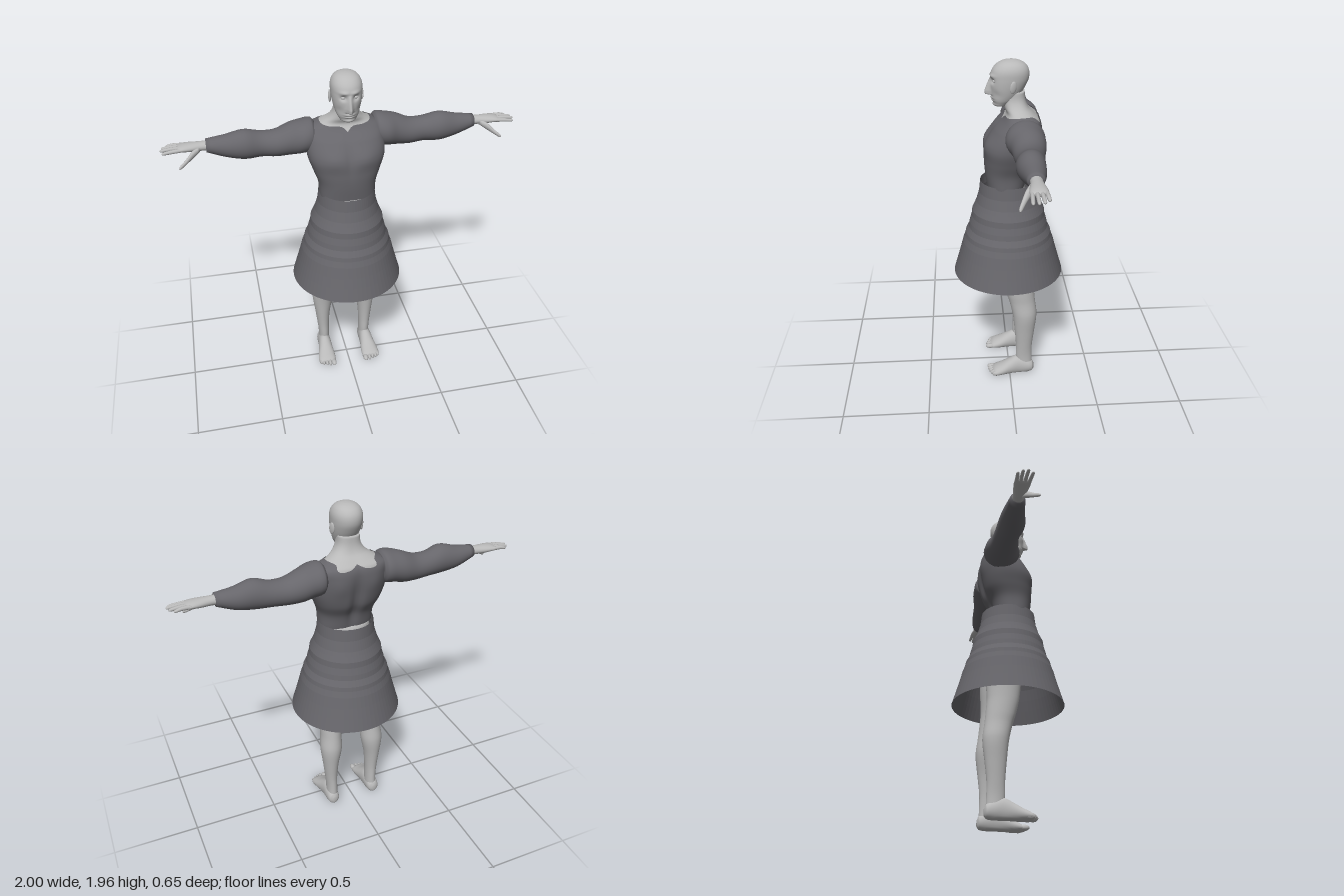
import * as THREE from 'three';

const skin = new THREE.MeshStandardMaterial({ color: 0xb9b9b9 });
skin.name = 'skin';
const cloth = new THREE.MeshStandardMaterial({ color: 0x67666b, side: THREE.DoubleSide });
cloth.name = 'cloth';

// Smooth lookup in rows of [key, values...]
function at(rows, k) {
  let i = 0;
  while (i < rows.length - 2 && k > rows[i + 1][0]) i++;
  const a = rows[i], b = rows[i + 1], p = rows[Math.max(i - 1, 0)], q = rows[Math.min(i + 2, rows.length - 1)];
  const d = b[0] - a[0], t = THREE.MathUtils.clamp((k - a[0]) / d, 0, 1);
  return a.slice(1).map((v, j) => {
    const w = b[j + 1];
    const m = d * (w - p[j + 1]) / (b[0] - p[0]), n = d * (q[j + 1] - v) / (q[0] - a[0]);
    const t2 = t * t, t3 = t2 * t;
    return (2 * t3 - 3 * t2 + 1) * v + (t3 - 2 * t2 + t) * m + (3 * t2 - 2 * t3) * w + (t3 - t2) * n;
  });
}

// Skin over cross-sections [key, c1, c2, r1, r2] along an axis.
// Pairs (c1, c2): axis x -> (y, z), axis y -> (z, x), axis z -> (x, y)
function loft(axis, rows, { seg = 32, sub = 4, exp = 2, grow = 0, top = null, cap = true, tweak = null } = {}) {
  const A = { x: 0, y: 1, z: 2 }[axis], pos = [], idx = [], keys = [];
  rows.slice(1).forEach((r, i) => {
    for (let s = 0; s < sub; s++) keys.push(rows[i][0] + (r[0] - rows[i][0]) * s / sub);
  });
  const k0 = rows[0][0], k1 = rows.at(-1)[0];
  keys.push(k1);
  const put = (k, p, q) => {
    const v = new THREE.Vector3().setComponent(A, k).setComponent((A + 1) % 3, p).setComponent((A + 2) % 3, q);
    if (tweak) tweak(v);
    pos.push(v.x, v.y, v.z);
  };
  const pw = (c) => Math.sign(c) * Math.abs(c) ** (2 / exp);
  keys.forEach((key, j) => {
    for (let i = 0; i < seg; i++) {
      const u = i / seg * Math.PI * 2;
      const k = top ? k0 + (key - k0) * (top(u) - k0) / (k1 - k0) : key;
      const [c1, c2, r1, r2] = at(rows, k);
      put(k, c1 + pw(Math.cos(u)) * (Math.max(r1, 0.001) + grow), c2 + pw(Math.sin(u)) * (Math.max(r2, 0.001) + grow));
      if (j) {
        const a = (j - 1) * seg + i, b = (j - 1) * seg + (i + 1) % seg;
        idx.push(a, b, b + seg, a, b + seg, a + seg);
      }
    }
  });
  if (cap) {
    const n = keys.length * seg, last = n - seg;
    put(k0, rows[0][1], rows[0][2]);
    put(k1, rows.at(-1)[1], rows.at(-1)[2]);
    for (let i = 0; i < seg; i++) {
      const e = (i + 1) % seg;
      idx.push(n, e, i, n + 1, last + i, last + e);
    }
  }
  const g = new THREE.BufferGeometry();
  g.setAttribute('position', new THREE.Float32BufferAttribute(pos, 3));
  g.setIndex(idx);
  g.computeVertexNormals();
  return g;
}

function ball(x, y, z, rx, ry, rz) {
  return new THREE.SphereGeometry(1, 20, 14).scale(rx, ry, rz).translate(x, y, z);
}

function mirrored(geo) {
  const g = geo.clone().scale(-1, 1, 1), ix = g.index.array;
  for (let i = 0; i < ix.length; i += 3) [ix[i], ix[i + 1]] = [ix[i + 1], ix[i]];
  g.computeVertexNormals();
  return g;
}

const bump = (x, y, cx, cy, sx, sy) => Math.exp(-(((x - cx) / sx) ** 2) - ((y - cy) / sy) ** 2);

// Nose, brow, eye sockets, lips and chin
function face(v) {
  if (v.z < 0.02) return;
  const x = Math.abs(v.x), slope = THREE.MathUtils.clamp((1.865 - v.y) / 0.075, 0, 1);
  if (v.y > 1.768) v.z += 0.034 * slope * Math.exp(-((x / (0.008 + 0.007 * slope)) ** 2));
  v.z += 0.007 * bump(x, v.y, 0.03, 1.876, 0.025, 0.009) - 0.015 * bump(x, v.y, 0.033, 1.848, 0.016, 0.013);
  v.z += 0.009 * bump(x, v.y, 0, 1.753, 0.024, 0.006) + 0.008 * bump(x, v.y, 0, 1.739, 0.02, 0.005);
  v.z -= 0.004 * bump(x, v.y, 0, 1.746, 0.028, 0.003);
  v.z += 0.007 * bump(x, v.y, 0, 1.717, 0.022, 0.01) - 0.006 * bump(x, v.y, 0.055, 1.775, 0.018, 0.025);
}

// Chest muscles, spine groove and shoulder blades
function muscles(v) {
  const x = Math.abs(v.x);
  if (v.z > 0) v.z += 0.012 * bump(x, v.y, 0.09, 1.51, 0.07, 0.05) - 0.006 * bump(x, v.y, 0, 1.5, 0.02, 0.09);
  else if (v.z < -0.05) v.z += 0.022 * bump(x, v.y, 0, 1.42, 0.03, 0.16) - 0.008 * bump(x, v.y, 0.1, 1.54, 0.05, 0.07);
}

export function createModel() {
  const model = new THREE.Group();
  const add = (name, geo, mat) => {
    const m = new THREE.Mesh(geo, mat);
    m.name = name;
    model.add(m);
  };
  const pair = (name, geo, mat) => {
    add('left ' + name, geo, mat);
    add('right ' + name, mirrored(geo), mat);
  };

  // Torso and neck, with the shirt following them up to its ragged collar
  const torso = [[1.25, 0.015, 0, 0.102, 0.152], [1.335, 0.01, 0, 0.118, 0.158], [1.41, -0.008, 0, 0.14, 0.185],
    [1.49, -0.02, 0, 0.146, 0.21], [1.585, -0.05, 0, 0.126, 0.21], [1.64, -0.072, 0, 0.096, 0.195],
    [1.67, -0.065, 0, 0.075, 0.137], [1.7, -0.045, 0, 0.066, 0.093], [1.74, -0.034, 0, 0.061, 0.068], [1.79, -0.03, 0, 0.06, 0.062]];
  const collar = [[0, 1.632], [0.1, 1.655], [0.5, 1.66], [1.57, 1.672], [2.4, 1.665], [2.7, 1.635], [3, 1.64], [Math.PI, 1.66]];
  add('torso and neck', loft('y', torso, { seg: 96, sub: 5, exp: 2.4, tweak: muscles }), skin);
  add('shirt', loft('y', torso, {
    seg: 96, sub: 5, exp: 2.4, grow: 0.006, cap: false, tweak: muscles,
    top: (u) => at(collar, Math.min(u, 2 * Math.PI - u))[0],
  }), cloth);
  add('hips', loft('y', [[0.9, -0.03, 0, 0.05, 0.08], [0.96, -0.03, 0, 0.1, 0.14], [1.05, -0.02, 0, 0.115, 0.155],
    [1.15, -0.005, 0, 0.11, 0.15], [1.25, 0.015, 0, 0.1, 0.148]], { seg: 40 }), skin);

  // Head
  add('head', loft('y', [[1.703, 0.045, 0, 0.012, 0.015], [1.708, 0.04, 0, 0.034, 0.036], [1.725, 0.032, 0, 0.047, 0.05],
    [1.745, 0.022, 0, 0.065, 0.061], [1.78, 0.01, 0, 0.083, 0.072], [1.82, 0, 0, 0.097, 0.08], [1.86, -0.008, 0, 0.105, 0.084],
    [1.9, -0.012, 0, 0.101, 0.083], [1.93, -0.015, 0, 0.082, 0.07], [1.948, -0.016, 0, 0.054, 0.048],
    [1.956, -0.016, 0, 0.026, 0.023], [1.958, -0.016, 0, 0.004, 0.004]], { seg: 112, sub: 8, exp: 2.1, tweak: face }), skin);
  pair('eye', ball(0.033, 1.848, 0.075, 0.013, 0.008, 0.01), skin);
  pair('ear', ball(0, 0, 0, 0.008, 0.034, 0.019).rotateY(0.35).rotateX(-0.15).translate(0.086, 1.825, -0.022), skin);

  // Tiered skirt, open below
  const tiers = [[0.16, 1.27], [0.168, 1.2], [0.185, 1.14], [0.196, 1.115], [0.21, 1.085], [0.214, 1.05], [0.226, 1.01],
    [0.232, 0.98], [0.25, 0.945], [0.255, 0.92], [0.268, 0.885], [0.285, 0.82], [0.302, 0.76], [0.325, 0.682]];
  const skirt = new THREE.LatheGeometry(tiers.reverse().map(([r, y]) => new THREE.Vector2(r, y)), 72).toNonIndexed();
  skirt.computeVertexNormals();
  add('skirt', skirt, cloth);

  // Sleeves
  pair('sleeve', loft('x', [[0.165, 1.59, -0.08, 0.07, 0.075], [0.185, 1.588, -0.08, 0.09, 0.1], [0.24, 1.58, -0.077, 0.092, 0.106],
    [0.3, 1.567, -0.087, 0.089, 0.094], [0.38, 1.55, -0.085, 0.075, 0.08], [0.46, 1.553, -0.086, 0.072, 0.071],
    [0.55, 1.564, -0.075, 0.083, 0.075], [0.65, 1.562, -0.081, 0.063, 0.061], [0.755, 1.575, -0.08, 0.036, 0.041]], { seg: 40 }), cloth);

  // Hands: palm, four fingers and a lowered thumb
  pair('palm', loft('x', [[0.72, 1.575, -0.08, 0.028, 0.032], [0.78, 1.575, -0.08, 0.025, 0.031], [0.83, 1.575, -0.08, 0.024, 0.039],
    [0.87, 1.576, -0.08, 0.02, 0.044], [0.9, 1.575, -0.08, 0.014, 0.043], [0.91, 1.575, -0.08, 0.006, 0.035]], { seg: 24 }), skin);
  [[-0.112, -0.118, 0.97], [-0.091, -0.095, 0.992], [-0.069, -0.069, 1], [-0.048, -0.043, 0.99]].forEach(([z0, z1, tip], i) => {
    const y = i === 3 ? 1.572 : 1.577;
    pair('finger ' + (i + 1), loft('x', [[0.87, 1.576, z0, 0.011, 0.011], [0.93, y, (z0 + z1) / 2, 0.0105, 0.01],
      [tip - 0.012, y - 0.005, z1, 0.008, 0.0085], [tip - 0.003, y - 0.006, z1, 0.005, 0.005], [tip, y - 0.006, z1, 0.001, 0.001]], { seg: 12 }), skin);
  });
  pair('thumb', loft('x', [[0.79, 1.568, -0.06, 0.016, 0.016], [0.83, 1.548, -0.036, 0.02, 0.016], [0.865, 1.522, -0.014, 0.014, 0.012],
    [0.895, 1.502, 0.002, 0.011, 0.009], [0.905, 1.496, 0.006, 0.006, 0.005], [0.908, 1.494, 0.007, 0.001, 0.001]], { seg: 14 }), skin);

  // Legs and bare feet
  pair('leg', loft('y', [[0.04, -0.095, 0.135, 0.048, 0.034], [0.12, -0.09, 0.135, 0.05, 0.033], [0.2, -0.09, 0.138, 0.05, 0.037],
    [0.31, -0.092, 0.14, 0.06, 0.048], [0.43, -0.092, 0.136, 0.073, 0.066], [0.52, -0.077, 0.131, 0.078, 0.063],
    [0.58, -0.065, 0.128, 0.084, 0.066], [0.68, -0.05, 0.121, 0.092, 0.072], [0.85, -0.045, 0.105, 0.105, 0.088],
    [1.02, -0.035, 0.085, 0.1, 0.075]], { seg: 36 }), skin);
  pair('foot', loft('z', [[-0.152, 0.138, 0.035, 0.012, 0.018], [-0.14, 0.138, 0.04, 0.032, 0.038], [-0.1, 0.138, 0.045, 0.04, 0.055],
    [-0.05, 0.138, 0.05, 0.041, 0.065], [0, 0.14, 0.04, 0.046, 0.053], [0.05, 0.143, 0.026, 0.054, 0.038],
    [0.09, 0.145, 0.018, 0.055, 0.026], [0.108, 0.145, 0.016, 0.047, 0.014]], { seg: 32, tweak: (v) => { v.y = Math.max(v.y, 0); } }), skin);
  [[0.106, 0.112, 0.016], [0.131, 0.11, 0.011], [0.152, 0.103, 0.01], [0.172, 0.095, 0.01], [0.189, 0.084, 0.009]].forEach(([x, z, r], i) => {
    pair('toe ' + (i + 1), ball(x, 0.017, z, r, 0.016, 0.028), skin);
  });
  return model;
}
